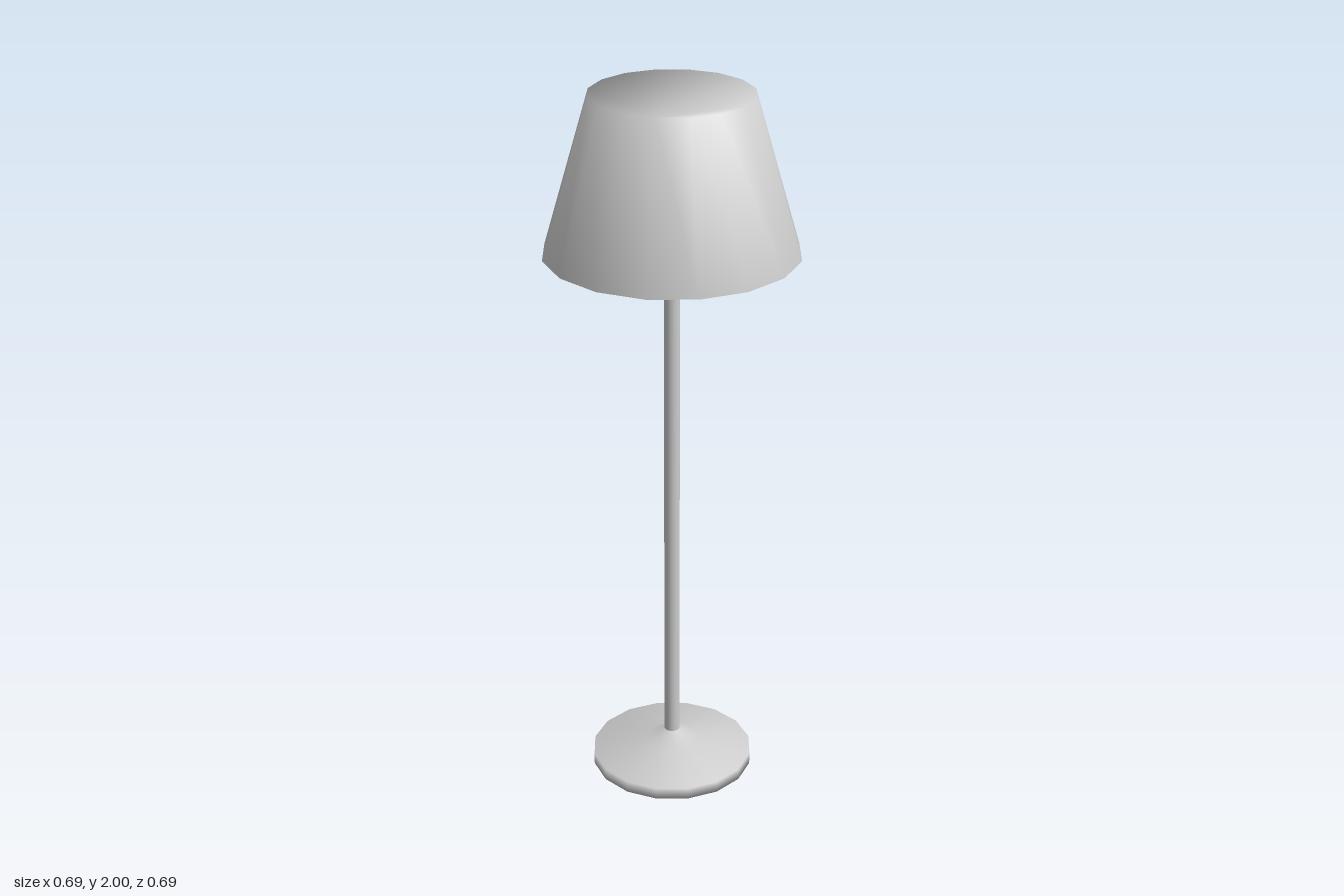
import * as THREE from 'three';

const SIDES = 16;

// Solid of revolution with smooth normals; profile runs upward on the outside.
// Ends on the axis become flat caps fanned from one rim vertex.
function turned(name, profile, material, sides = SIDES) {
  const points = profile.map(([r, y]) => new THREE.Vector2(r, y));
  const geometry = new THREE.LatheGeometry(points, sides);
  const n = points.length;
  const index = geometry.index;
  for (let i = 0; i < index.count; i++) {
    const ring = index.getX(i) % n;
    if (ring === 0 && profile[0][0] === 0) index.setX(i, 1);
    if (ring === n - 1 && profile[n - 1][0] === 0) index.setX(i, n - 2);
  }
  const mesh = new THREE.Mesh(geometry, material);
  mesh.name = name;
  return mesh;
}

export function createModel() {
  const lamp = new THREE.Group();
  lamp.name = 'floorLamp';
  const grey = new THREE.MeshStandardMaterial({ color: 0xcccccc });
  grey.name = 'light grey';

  // Round foot flaring up into the pole
  lamp.add(turned('base', [
    [0, 0], [0.23, 0], [0.23, 0.034], [0.075, 0.063], [0.022, 0.095], [0, 0.095],
  ], grey));

  // Slim upright
  lamp.add(turned('pole', [
    [0, 0.08], [0.022, 0.08], [0.022, 1.74], [0, 1.74],
  ], grey));

  // Bulb holder hidden inside the shade
  lamp.add(turned('socket', [
    [0, 1.69], [0.06, 1.69], [0.078, 1.71], [0.078, 1.8], [0.05, 1.84], [0, 1.84],
  ], grey));

  // Hollow tapered shade: ceiling, inner wall, lip, outer wall, closed top
  lamp.add(turned('shade', [
    [0, 1.97], [0.2, 1.97], [0.31, 1.56], [0.345, 1.57], [0.22, 2], [0, 2],
  ], grey));

  return lamp;
}
